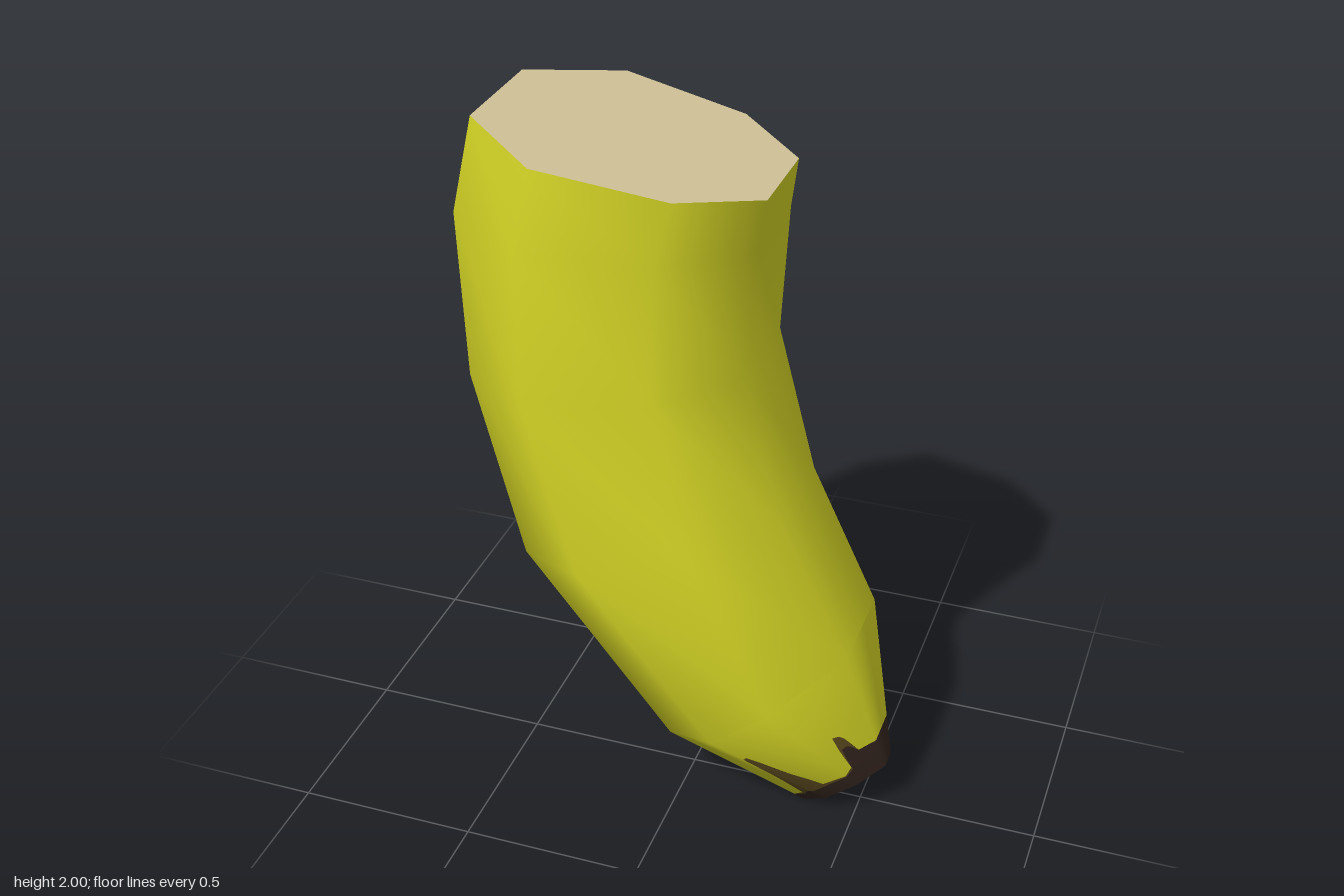
import * as THREE from 'three';

// Cross-sections from cut end to tip: outer x,y, inner x,y, half depths (outer edge, outer corner, inner corner, inner edge), corner positions
const RINGS = [
  [-0.52, 2.00, 0.225, 1.875, 0.16, 0.33, 0.285, 0.13, 0.295, 0.75],
  [-0.578, 1.74, 0.205, 1.74, 0.167, 0.338, 0.30, 0.14, 0.29, 0.74],
  [-0.562, 1.28, 0.183, 1.39, 0.167, 0.336, 0.30, 0.145, 0.29, 0.74],
  [-0.43, 0.75, 0.287, 0.98, 0.165, 0.325, 0.30, 0.15, 0.30, 0.72],
  [-0.02, 0.22, 0.475, 0.59, 0.155, 0.31, 0.285, 0.145, 0.34, 0.65],
  [0.35, 0.00, 0.573, 0.16, 0.06, 0.095, 0.08, 0.03, 0.33, 0.70],
];
// Bruise edge around half the tip: position around, dark height, brown height
const BRUISE = [
  [-0.5, 0.25, 0.25], [0, 0.25, 0.25], [0.4, 0.27, 0.27], [0.52, 0.36, 0.47], [0.66, 0.36, 0.5],
  [0.75, 0.15, 0.17], [1, 0.12, 0.13], [1.6, 0.12, 0.15], [1.82, 0.12, 0.4], [1.94, 0.12, 0.72],
  [2.08, 0.13, 0.7], [2.25, 0.12, 0.35], [2.5, 0.08, 0.1], [3.5, 0.05, 0.05],
];

function ringPoints([lx, ly, rx, ry, zel, zml, zmr, zer, tl, tr]) {
  const half = [[1, zer], [tr, zmr], [tl, zml], [0, zel]];
  const at = ([t, z], s) => new THREE.Vector3(lx + (rx - lx) * t, ly + (ry - ly) * t, z * s);
  return [...half.map(h => at(h, 1)), ...half.reverse().map(h => at(h, -1))];
}

function bruiseAt(u) {
  if (u > 3.5) u = 7 - u;
  const i = Math.max(1, BRUISE.findIndex(b => b[0] >= u));
  const a = BRUISE[i - 1], b = BRUISE[i], f = (u - a[0]) / (b[0] - a[0]);
  return [a[1] + (b[1] - a[1]) * f, a[2] + (b[2] - a[2]) * f];
}

function gridIndex(rows, cols, stride, wrap) {
  const index = [];
  for (let r = 0; r < rows; r++) for (let c = 0; c < cols; c++) {
    const n = wrap ? (c + 1) % cols : c + 1;
    const a = r * stride + c, b = r * stride + n;
    index.push(a, b, a + stride, b, b + stride, a + stride);
  }
  return index;
}

// Flat octagonal end
function capGeometry(points, up) {
  const index = [];
  for (let i = 1; i < 7; i++) index.push(0, up ? i + 1 : i, up ? i : i + 1);
  const g = new THREE.BufferGeometry().setFromPoints(points);
  g.setIndex(index);
  g.computeVertexNormals();
  return g;
}

export function createModel() {
  const group = new THREE.Group();
  const material = (name, color) => {
    const m = new THREE.MeshStandardMaterial({ color });
    m.name = name;
    return m;
  };
  const yellow = material('yellow peel', 0xd6d626);
  const flesh = material('cream flesh', 0xd2c49a);
  const dark = material('dark tip', 0x35261f);
  const brown = material('brown bruise', 0x5e4d20);
  const add = (name, geometry, mat) => {
    const mesh = new THREE.Mesh(geometry, mat);
    mesh.name = name;
    group.add(mesh);
  };

  // Main peel, smooth normals shared with the tip band
  const rings = RINGS.map(ringPoints);
  const peel = new THREE.BufferGeometry().setFromPoints(rings.flat());
  peel.setIndex(gridIndex(5, 8, 8, true));
  peel.computeVertexNormals();
  const normals = peel.getAttribute('normal');
  peel.setIndex(gridIndex(4, 8, 8, true));
  add('peel', peel, yellow);

  // Tip band, split by height into peel, brown bruise and dark tip
  const normalAt = (r, k) => new THREE.Vector3().fromBufferAttribute(normals, r * 8 + k);
  function sample(u, v) {
    const w = (u + 8) % 8, k = Math.floor(w), n = (k + 1) % 8, f = w - k;
    const p = rings[5][k].clone().lerp(rings[5][n], f).lerp(rings[4][k].clone().lerp(rings[4][n], f), v);
    const q = normalAt(5, k).lerp(normalAt(5, n), f).lerp(normalAt(4, k).lerp(normalAt(4, n), f), v);
    return [p, q.normalize()];
  }
  function band(top, bottom) {
    const cols = 160, rows = 4, pos = [], nor = [];
    for (let r = 0; r <= rows; r++) for (let c = 0; c <= cols; c++) {
      const u = -0.5 + 8 * c / cols, edge = bruiseAt(u);
      const [p, n] = sample(u, THREE.MathUtils.lerp(top(edge), bottom(edge), r / rows));
      pos.push(...p.toArray());
      nor.push(...n.toArray());
    }
    const g = new THREE.BufferGeometry();
    g.setAttribute('position', new THREE.Float32BufferAttribute(pos, 3));
    g.setAttribute('normal', new THREE.Float32BufferAttribute(nor, 3));
    g.setIndex(gridIndex(rows, cols, cols + 1, false));
    return g;
  }
  add('tipPeel', band(() => 1, e => e[1]), yellow);
  add('tipBruise', band(e => e[1], e => e[0]), brown);
  add('tipDark', band(e => e[0], () => 0), dark);

  // Cut face and blunt tip
  add('cutFace', capGeometry(rings[0], true), flesh);
  add('tipEnd', capGeometry(rings[5], false), dark);
  return group;
}
